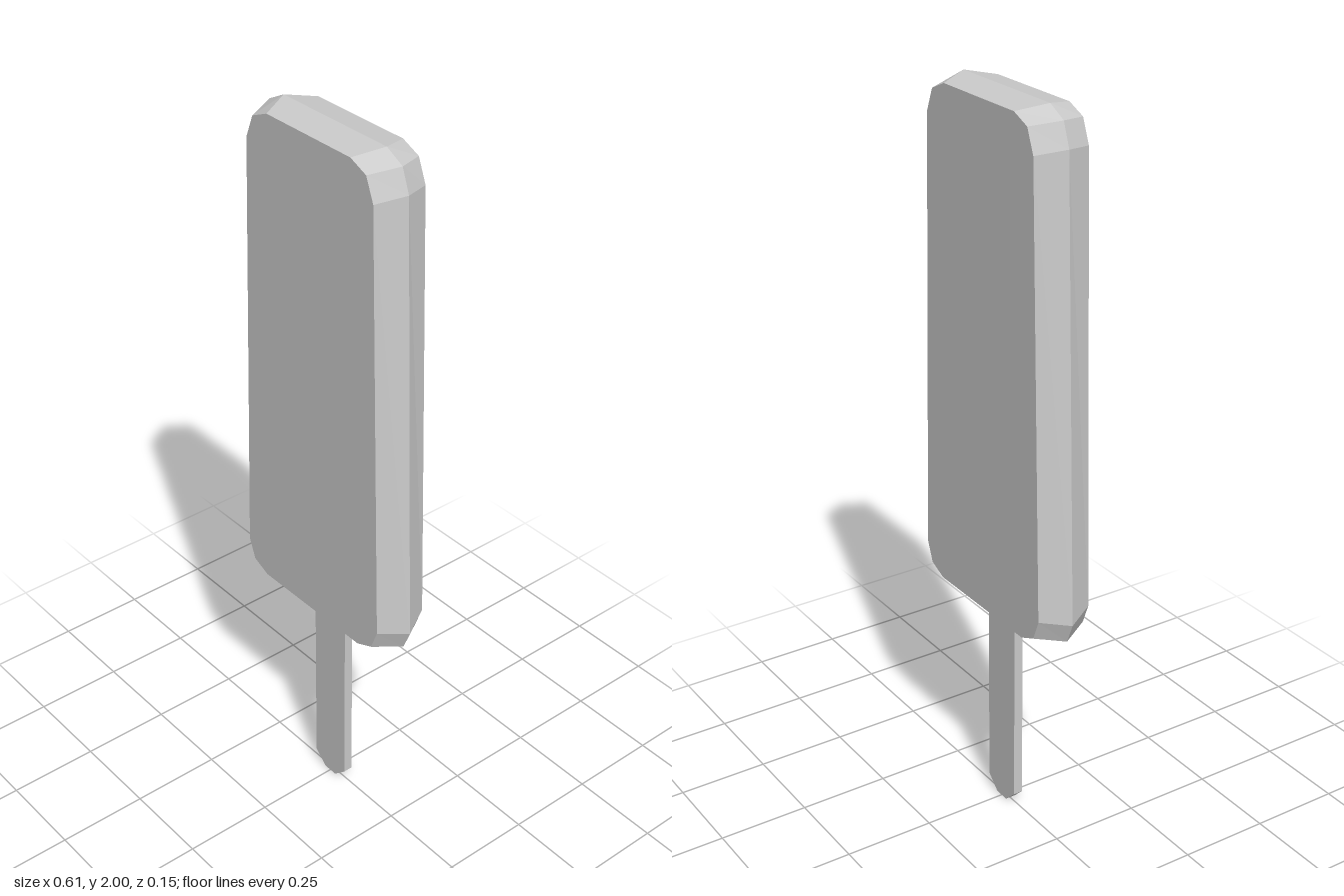
import * as THREE from 'three';

// Right half of an outline, bottom to top, mirrored into a full counter-clockwise loop
const mirrored = (half) => [...half, ...half.map(([x, y]) => [-x, y]).reverse()];

// Skin matching convex outlines stacked from back to front, with flat end caps
function loft(sections) {
  const rings = sections.map(({ outline, z }) => outline.map(([x, y]) => [x, y, z]));
  const n = rings[0].length;
  const pos = [];
  const tri = (a, b, c) => pos.push(...a, ...b, ...c);
  for (let r = 0; r < rings.length - 1; r++) {
    for (let i = 0; i < n; i++) {
      const j = (i + 1) % n;
      tri(rings[r][i], rings[r][j], rings[r + 1][j]);
      tri(rings[r][i], rings[r + 1][j], rings[r + 1][i]);
    }
  }
  const back = rings[0];
  const front = rings[rings.length - 1];
  for (let i = 1; i < n - 1; i++) {
    tri(front[0], front[i], front[i + 1]);
    tri(back[0], back[i + 1], back[i]);
  }
  const geometry = new THREE.BufferGeometry();
  geometry.setAttribute('position', new THREE.Float32BufferAttribute(pos, 3));
  geometry.computeVertexNormals();
  return geometry;
}

export function createModel() {
  const group = new THREE.Group();
  group.name = 'icePop';
  const material = new THREE.MeshStandardMaterial({ color: 0xcccccc, flatShading: true });
  const add = (name, geometry) => {
    const mesh = new THREE.Mesh(geometry, material);
    mesh.name = name;
    group.add(mesh);
  };

  // Tapered ice block: widest at mid-depth, bevelled towards both faces
  const rim = mirrored([
    [0.22, 0.61], [0.282, 0.633], [0.305, 0.69],
    [0.26, 1.91], [0.237, 1.972], [0.183, 2.0],
  ]);
  const face = mirrored([
    [0.19, 0.625], [0.243, 0.648], [0.265, 0.705],
    [0.229, 1.9], [0.204, 1.962], [0.15, 1.985],
  ]);
  add('iceBlock', loft([
    { outline: face, z: -0.077 },
    { outline: rim, z: 0 },
    { outline: face, z: 0.077 },
  ]));

  // Flat stick with a chamfered lower end, running up into the block
  const stick = mirrored([[0.022, 0], [0.062, 0.038], [0.062, 0.7]]);
  add('stick', loft([
    { outline: stick, z: -0.013 },
    { outline: stick, z: 0.013 },
  ]));

  return group;
}
